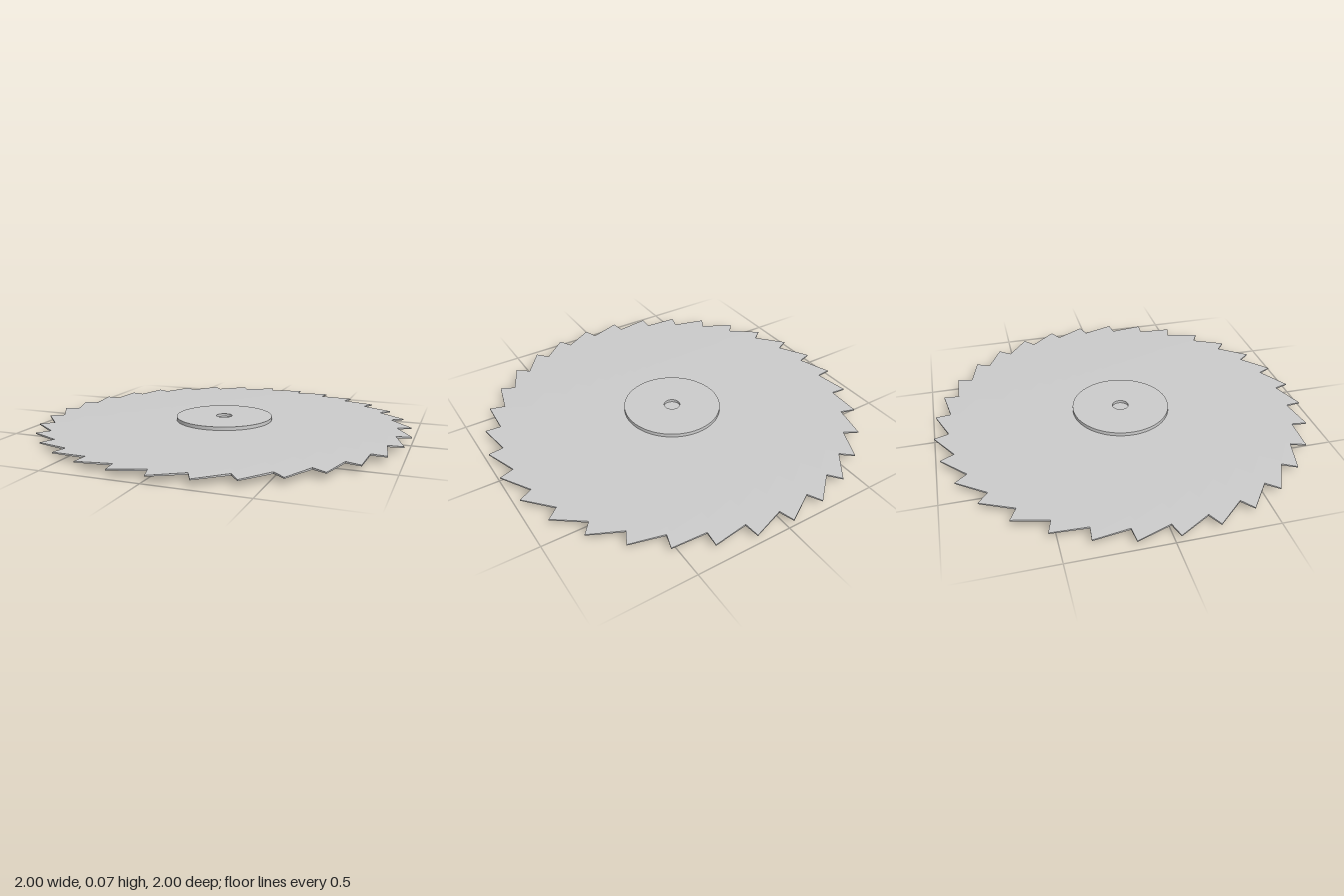
import * as THREE from 'three';
import { toCreasedNormals } from 'three/addons/utils/BufferGeometryUtils.js';

const TEETH = 32;
const MID = 0.0365; // half of the total height
const TIP_R = 1.0, VALLEY_R = 0.923, TIP_LEAD = 0.023;
const HUB_R = 0.26, BORE_R = 0.043;

// Half thickness of the blade, tapering from the centre to the tooth tips
const halfThickness = (r) => 0.023 - 0.02 * r;

// Double-sided tapered disc with a raked saw-tooth rim
function bladeGeometry() {
  const rim = [];
  for (let i = 0; i < TEETH; i++) {
    const a = (i / TEETH) * Math.PI * 2;
    rim.push([TIP_R, a - TIP_LEAD], [VALLEY_R, a]);
  }
  const point = ([r, a], side) => [r * Math.cos(a), side * halfThickness(r), r * Math.sin(a)];
  const positions = [];
  const triangle = (...corners) => corners.forEach((c) => positions.push(...c));
  const centre = [0, 0];
  rim.forEach((p, i) => {
    const q = rim[(i + 1) % rim.length];
    const pt = point(p, 1), qt = point(q, 1), pb = point(p, -1), qb = point(q, -1);
    triangle(point(centre, 1), qt, pt);
    triangle(point(centre, -1), pb, qb);
    triangle(pb, pt, qt);
    triangle(pb, qt, qb);
  });
  const geometry = new THREE.BufferGeometry();
  geometry.setAttribute('position', new THREE.Float32BufferAttribute(positions, 3));
  return toCreasedNormals(geometry, 0.4);
}

// Collar ring with a shallow bore, sunk slightly into the blade
function collarGeometry() {
  const profile = [
    [HUB_R, 0.012], [HUB_R, MID], [BORE_R, MID], [BORE_R, 0.012],
  ].map(([r, y]) => new THREE.Vector2(r, y));
  return toCreasedNormals(new THREE.LatheGeometry(profile, 64), 0.5);
}

export function createModel() {
  const model = new THREE.Group();
  model.name = 'sawBlade';
  const material = new THREE.MeshStandardMaterial({ color: 0xcccccc });

  const add = (name, geometry) => {
    const mesh = new THREE.Mesh(geometry, material);
    mesh.name = name;
    mesh.position.y = MID;
    model.add(mesh);
    return mesh;
  };

  add('toothedBlade', bladeGeometry());

  // Matching collars above and below the blade
  const collar = collarGeometry();
  add('upperCollar', collar);
  add('lowerCollar', collar).rotation.x = Math.PI;

  return model;
}
